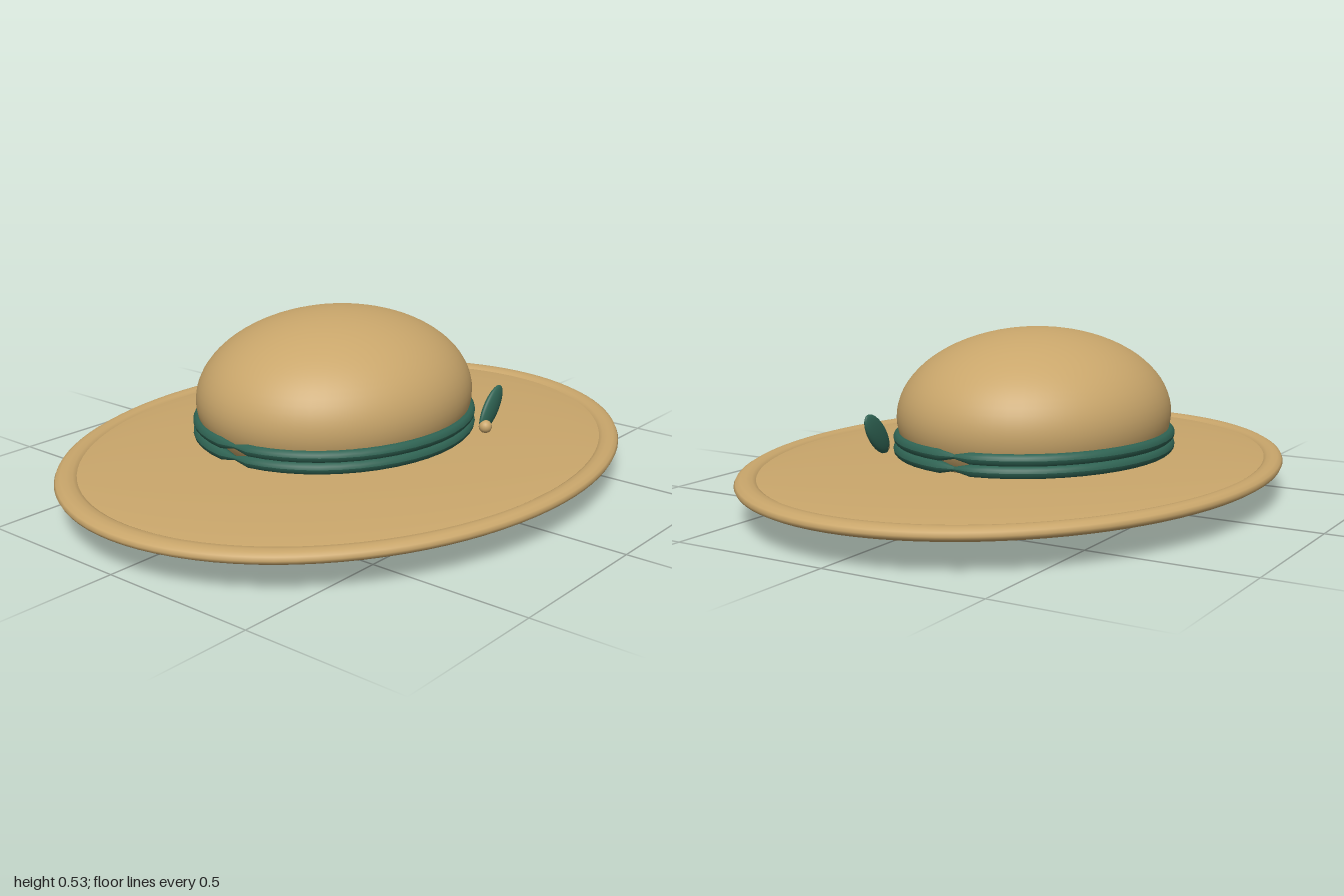
import * as THREE from 'three';

const straw = new THREE.MeshStandardMaterial({ color: 0xc9a66b });
straw.name = 'straw';
const ribbon = new THREE.MeshStandardMaterial({ color: 0x2f6353 });
ribbon.name = 'green ribbon';

export function createModel() {
  const hat = new THREE.Group();
  hat.name = 'sunHat';

  const add = (name, geometry, material, x, y, z) => {
    const mesh = new THREE.Mesh(geometry, material);
    mesh.name = name;
    mesh.position.set(x, y, z);
    hat.add(mesh);
    return mesh;
  };
  const ellipsoid = (rx, ry, rz) => new THREE.SphereGeometry(1, 64, 40).scale(rx, ry, rz);

  // Wide oval brim, a very flat lens
  add('brim', ellipsoid(0.99, 0.052, 0.787), straw, 0, 0.1, 0);

  // Rolled edge lying on the brim
  const edge = new THREE.TorusGeometry(0.96, 0.04, 12, 96).rotateX(Math.PI / 2).scale(1, 0.5, 0.795);
  add('brimEdge', edge, straw, 0, 0.107, 0);

  // Rounded crown, passing through the brim
  add('crown', ellipsoid(0.47, 0.267, 0.415), straw, 0, 0.267, -0.055);

  // Two ribbon cords, each pinched at the left and right sides
  const segments = 48, sides = 12, rx = 0.46, rz = 0.41, tube = 0.0185;
  for (const [name, y] of [['lowerBand', 0.168], ['upperBand', 0.204]]) {
    const band = new THREE.TorusGeometry(1, 0.1, sides, segments);
    const p = band.attributes.position;
    for (let j = 0; j <= sides; j++) {
      for (let i = 0; i <= segments; i++) {
        const a = (i / segments) * Math.PI * 2, b = (j / sides) * Math.PI * 2;
        const r = tube * (i % (segments / 2) === 0 ? 0.35 : 1);
        const out = r * Math.cos(b);
        p.setXYZ(j * (segments + 1) + i,
          (rx + out) * Math.cos(a), r * Math.sin(b), -(rz + out) * Math.sin(a));
      }
    }
    band.computeVertexNormals();
    add(name, band, ribbon, 0, y, -0.055);
  }

  // Leaf ornament with a small bead at its foot
  const leaf = add('leaf', ellipsoid(0.038, 0.082, 0.016), ribbon, 0.317, 0.21, 0.328);
  leaf.rotation.z = -0.7;
  add('bead', new THREE.SphereGeometry(0.021, 20, 14), straw, 0.27, 0.162, 0.34);

  return hat;
}
